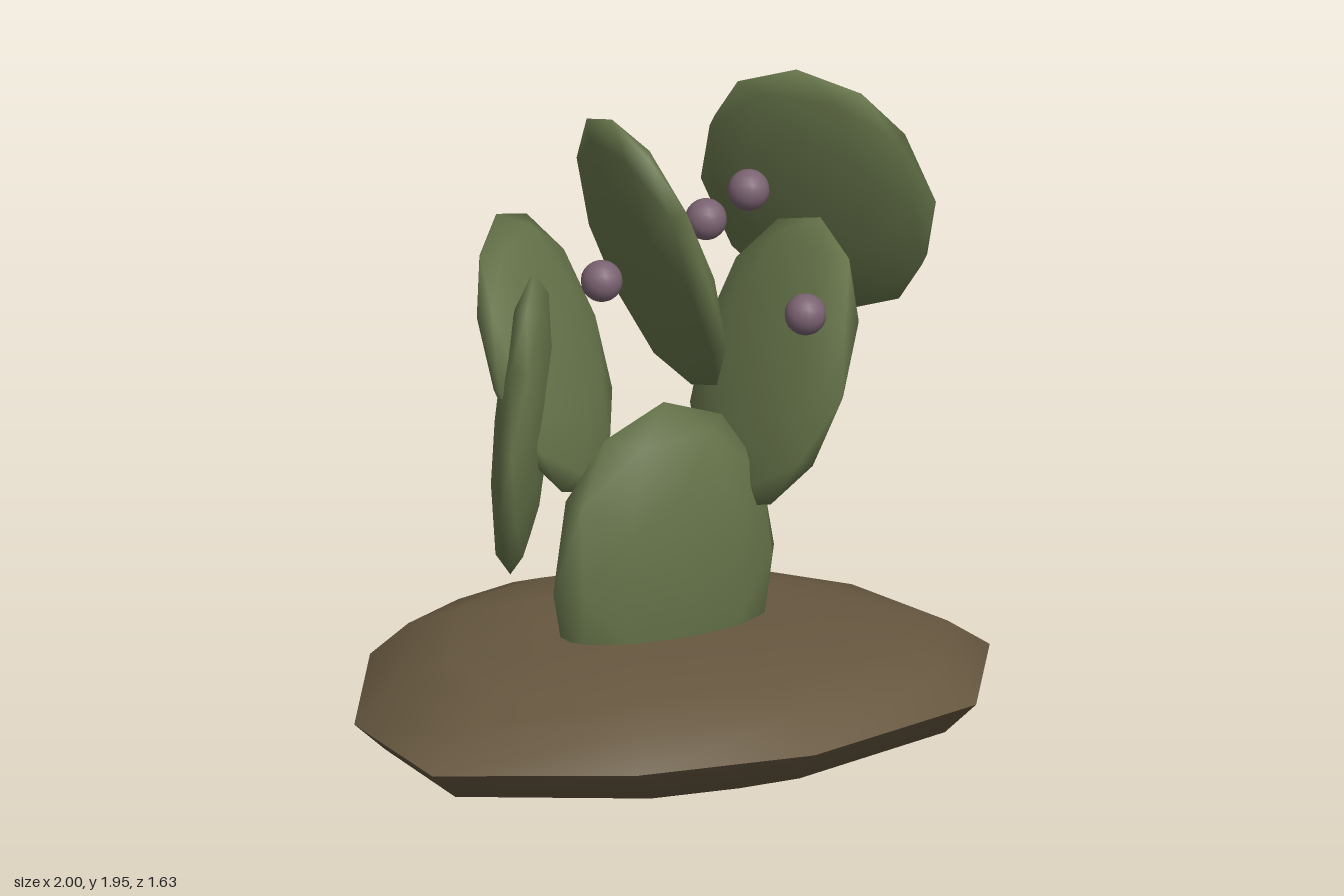
import * as THREE from 'three';

const padGreen = new THREE.MeshStandardMaterial({ name: 'cactusGreen', color: 0x66744a });
const soil = new THREE.MeshStandardMaterial({ name: 'earthBrown', color: 0x66573f });
const mauve = new THREE.MeshStandardMaterial({ name: 'fruitMauve', color: 0x7a6271 });

// Irregular rim of the mound, as x, z corners
const RIM = [
  [-1, 0.27], [-0.92, -0.24], [-0.56, -0.68], [-0.29, -0.78], [-0.04, -0.82], [0.6, -0.7],
  [0.94, -0.26], [1, 0.21], [0.62, 0.69], [-0.03, 0.81], [-0.54, 0.65],
];

// Half of the mound: shrinking copies of the rim, closed by a centre point.
// Rings rise a little to front and back, and inner ones tilt by [x, z] slopes.
function moundHalf(name, rings, centreY, up, tilt) {
  const n = RIM.length;
  const pos = [];
  const index = [];
  for (const [scale, y] of rings) {
    for (const [x, z] of RIM) {
      const lean = (tilt[0] * x + tilt[1] * z) * scale * (1 - scale);
      pos.push(x * scale, y + 0.05 * Math.abs(z) * scale + lean, z * scale);
    }
  }
  pos.push(0, centreY, 0);
  const tri = (a, b, c) => (up ? index.push(a, c, b) : index.push(a, b, c));
  rings.forEach((_, r) => {
    for (let j = 0; j < n; j++) {
      const a = r * n + j;
      const b = r * n + ((j + 1) % n);
      if (r === rings.length - 1) tri(a, b, rings.length * n);
      else {
        tri(a, b, a + n);
        tri(b, b + n, a + n);
      }
    }
  });
  const geo = new THREE.BufferGeometry();
  geo.setAttribute('position', new THREE.Float32BufferAttribute(pos, 3));
  geo.setIndex(index);
  geo.computeVertexNormals();
  const mesh = new THREE.Mesh(geo, soil);
  mesh.name = name;
  return mesh;
}

// Flattened faceted ball: long axis and flat-face normal set its pose
function pad({ name, at, long, normal, size }) {
  const n = new THREE.Vector3(...normal).normalize();
  const w = new THREE.Vector3(...long).cross(n).normalize();
  const a = new THREE.Vector3().crossVectors(n, w);
  const mesh = new THREE.Mesh(new THREE.IcosahedronGeometry(1, 1), padGreen);
  mesh.name = name;
  mesh.position.set(...at);
  mesh.quaternion.setFromRotationMatrix(new THREE.Matrix4().makeBasis(w, a, n));
  mesh.scale.set(size[0] * 1.02, size[1] * 1.02, size[2]);
  return mesh;
}

// size: half width, half length, half thickness
const PADS = [
  { name: 'basePad', at: [0, 0.575, 0], long: [0, 1, 0], normal: [0, 0, 1], size: [0.38, 0.5, 0.14] },
  { name: 'rightSidePad', at: [0.41, 1.12, -0.03], long: [0.33, 0.94, 0.05], normal: [0.944, -0.33, 0], size: [0.345, 0.435, 0.08] },
  { name: 'upperOuterPad', at: [0.72, 1.52, -0.255], long: [-0.33, 0.92, 0.21], normal: [0.76, 0.36, -0.54], size: [0.355, 0.44, 0.075] },
  { name: 'topPad', at: [0.01, 1.52, -0.075], long: [-0.32, 0.95, 0], normal: [0.944, 0.306, 0.11], size: [0.35, 0.445, 0.08] },
  { name: 'backPad', at: [-0.2, 1.185, -0.315], long: [-0.2, 0.94, -0.28], normal: [0.544, 0.342, 0.766], size: [0.37, 0.425, 0.08] },
  { name: 'backLowPad', at: [-0.32, 1.01, -0.255], long: [0.1, 0.99, 0], normal: [0.765, -0.07, 0.64], size: [0.35, 0.445, 0.08] },
];

const FRUITS = [[0.225, 1.42, 0.395], [0.36, 1.487, -0.305], [0.43, 1.595, -0.19], [-0.38, 1.595, 0.235]];

export function createModel() {
  const model = new THREE.Group();
  model.name = 'cactus';

  // Earth mound, creased along its rim
  const mound = new THREE.Group();
  mound.name = 'mound';
  mound.add(
    moundHalf('moundTop', [[1, 0.2], [0.87, 0.3], [0.7, 0.355], [0.42, 0.41]], 0.395, true, [-0.07, -0.05]),
    moundHalf('moundUnderside', [[1, 0.2], [0.9, 0.115], [0.5, 0.015]], 0, false, [0.02, -0.06]),
  );
  model.add(mound);

  // Cactus pads
  for (const p of PADS) model.add(pad(p));

  // Round fruits
  const fruitGeo = new THREE.SphereGeometry(0.061, 16, 12);
  for (const at of FRUITS) {
    const fruit = new THREE.Mesh(fruitGeo, mauve);
    fruit.name = 'fruit';
    fruit.position.set(...at);
    model.add(fruit);
  }
  return model;
}
